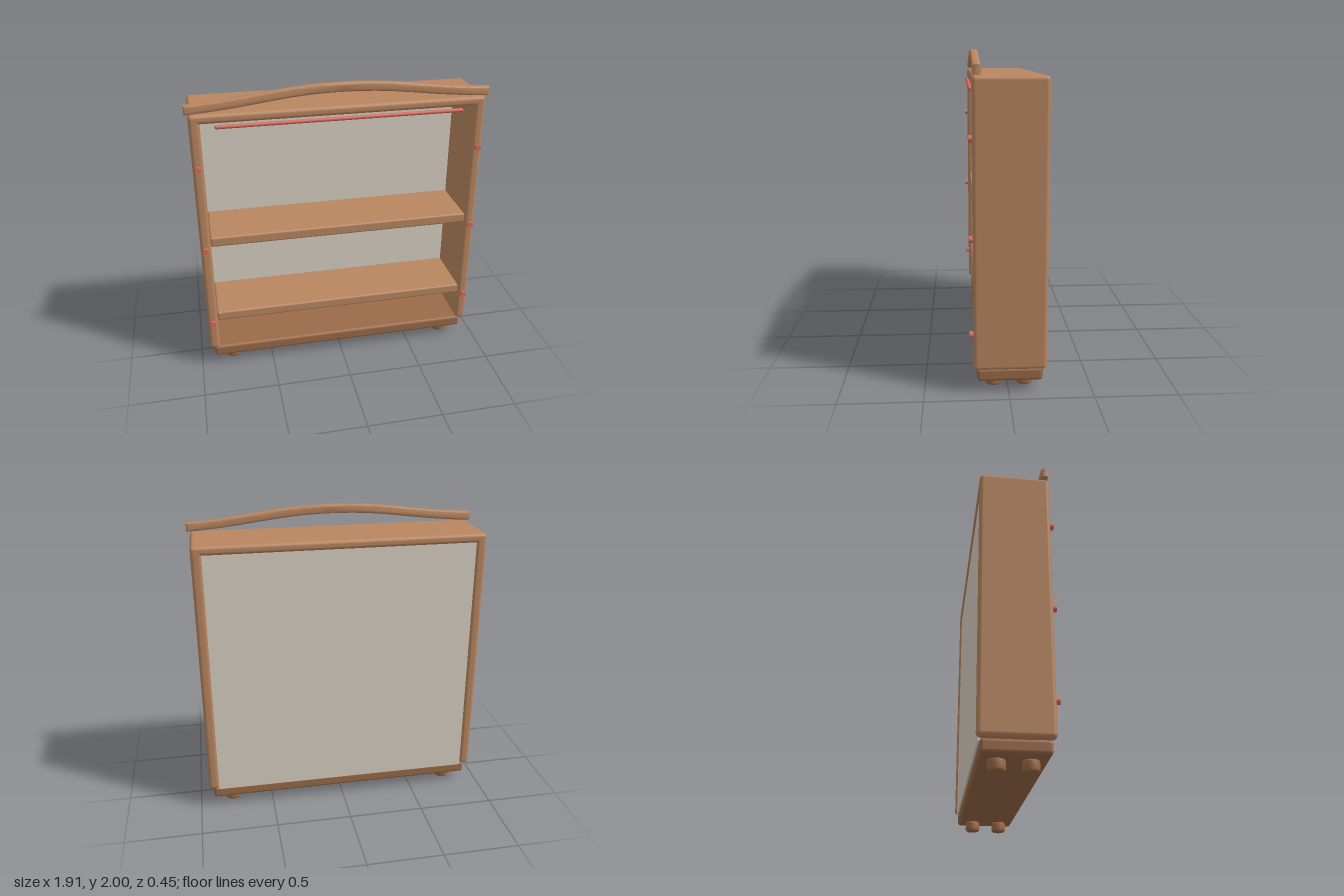
import * as THREE from 'three';
import { RoundedBoxGeometry } from 'three/addons/geometries/RoundedBoxGeometry.js';
import { toCreasedNormals } from 'three/addons/utils/BufferGeometryUtils.js';

const wood = new THREE.MeshStandardMaterial({ color: 0xb98660 });
const darkWood = new THREE.MeshStandardMaterial({ color: 0x9a6a47 });
const cream = new THREE.MeshStandardMaterial({ color: 0xd9d0c3 });
const red = new THREE.MeshStandardMaterial({ color: 0xd9695c });

export function createModel() {
  const model = new THREE.Group();
  model.name = 'cabinet';

  const add = (name, geometry, material, x = 0, y = 0, z = 0) => {
    const mesh = new THREE.Mesh(geometry, material);
    mesh.name = name;
    mesh.position.set(x, y, z);
    model.add(mesh);
    return mesh;
  };

  // Rounded board given by its minimum and maximum corners
  const board = (name, [x0, y0, z0], [x1, y1, z1], radius, material) =>
    add(name, new RoundedBoxGeometry(x1 - x0, y1 - y0, z1 - z0, 4, radius), material,
      (x0 + x1) / 2, (y0 + y1) / 2, (z0 + z1) / 2);

  // Carcass: sides, top, shelves and base
  board('leftSide', [0.867, 0.15, -0.226], [0.935, 1.857, 0.208], 0.024, wood);
  board('rightSide', [-0.935, 0.15, -0.226], [-0.867, 1.857, 0.208], 0.024, wood);
  board('topBoard', [-0.935, 1.797, -0.226], [0.935, 1.857, 0.208], 0.024, wood);
  board('upperShelf', [-0.868, 0.953, -0.2], [0.868, 1.022, 0.195], 0.014, wood);
  board('lowerShelf', [-0.868, 0.372, -0.2], [0.868, 0.44, 0.195], 0.014, wood);
  board('base', [-0.905, 0.068, -0.205], [0.905, 0.148, 0.188], 0.02, darkWood);

  // Back panel, slightly recessed in the frame
  add('backPanel', new THREE.BoxGeometry(1.74, 1.67, 0.016), cream, 0, 0.975, -0.206);

  // Arched crest rail: a strip of even thickness along a curve, with rounded edges
  const bevel = 0.014;
  const half = 0.029 - bevel;
  const end = 0.955 - bevel;
  const curve = new THREE.CurvePath();
  curve.add(new THREE.CubicBezierCurve(
    new THREE.Vector2(-end, 1.889), new THREE.Vector2(-0.5, 1.915),
    new THREE.Vector2(-0.38, 1.971), new THREE.Vector2(0, 1.971)));
  curve.add(new THREE.CubicBezierCurve(
    new THREE.Vector2(0, 1.971), new THREE.Vector2(0.38, 1.971),
    new THREE.Vector2(0.5, 1.915), new THREE.Vector2(end, 1.889)));
  const upper = [];
  const lower = [];
  for (let i = 0; i <= 48; i++) {
    const p = curve.getPoint(i / 48);
    upper.push(new THREE.Vector2(p.x, p.y + half));
    lower.push(new THREE.Vector2(p.x, p.y - half));
  }
  const crest = new THREE.ExtrudeGeometry(new THREE.Shape([...lower, ...upper.reverse()]), {
    depth: 0.05 - 2 * bevel, bevelThickness: bevel, bevelSize: bevel, bevelSegments: 4,
  });
  add('crestRail', toCreasedNormals(crest, 0.7), wood, 0, 0, 0.154 + bevel);

  // Round feet with softened rims
  const footProfile = [[0, 0], [0.036, 0], [0.045, 0.004], [0.05, 0.014],
    [0.05, 0.056], [0.045, 0.066], [0.036, 0.07], [0, 0.07]]
    .map(([r, y]) => new THREE.Vector2(r, y));
  const footGeometry = new THREE.LatheGeometry(footProfile, 32);
  for (const x of [-0.775, 0.775])
    for (const z of [0.085, -0.103]) add('foot', footGeometry, darkWood, x, 0, z);

  // Red pegs on the side fronts
  const pegGeometry = new THREE.CylinderGeometry(0.02, 0.02, 0.03, 24).rotateX(Math.PI / 2);
  for (const x of [-0.903, 0.903])
    for (const y of [0.368, 0.941, 1.513]) add('peg', pegGeometry, red, x, y, 0.214);

  // Red rod below the top board
  const rodGeometry = new THREE.CapsuleGeometry(0.012, 1.54, 6, 16).rotateZ(Math.PI / 2);
  add('rod', rodGeometry, red, 0, 1.78, 0.214);

  return model;
}
